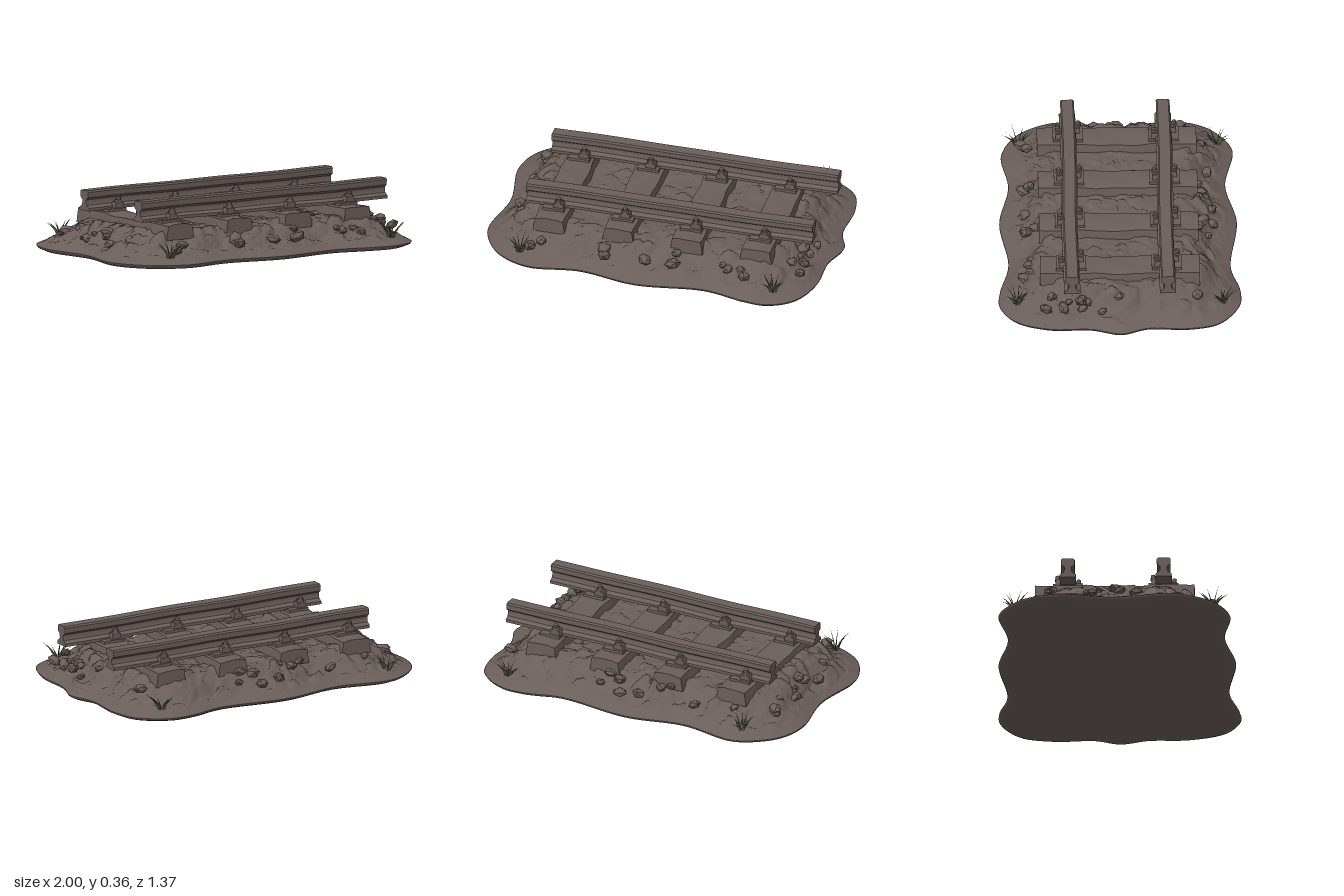
import * as THREE from 'three';
import { toCreasedNormals } from 'three/addons/utils/BufferGeometryUtils.js';

// Repeatable pseudo-random value for a pair of integers
const hash = (a, b) => {
  const s = Math.sin(a * 127.1 + b * 311.7) * 43758.5453;
  return s - Math.floor(s);
};
const lerp = THREE.MathUtils.lerp;

// Height of packed stones: each cell is a tilted facet with a crevice around it
function stones(x, z, size) {
  const u = x / size, w = z / size, ci = Math.floor(u), cj = Math.floor(w);
  let f1 = 9, f2 = 9, h = 0;
  for (let i = ci - 1; i <= ci + 1; i++) for (let j = cj - 1; j <= cj + 1; j++) {
    const dx = u - i - hash(i, j), dz = w - j - hash(i + 50, j + 9);
    const d = Math.hypot(dx, dz);
    if (d < f1) {
      f2 = f1; f1 = d;
      h = hash(i + 7, j + 3) - 0.5 + dx * (hash(i, j + 21) - 0.5) * 1.2 + dz * (hash(i + 31, j) - 0.5) * 1.2;
    } else if (d < f2) f2 = d;
  }
  return h * Math.min(1, (f2 - f1) * 5) - 0.35 * (1 - Math.min(1, (f2 - f1) * 4));
}

// Piecewise linear lookup in [[x, y], ...]
function lookup(table, x) {
  for (let i = 1; i < table.length; i++) {
    const [x0, y0] = table[i - 1], [x1, y1] = table[i];
    if (x <= x1) return lerp(y0, y1, (x - x0) / (x1 - x0));
  }
  return table[table.length - 1][1];
}

// Gravel bed: rings run from the underside centre, over the rim, to the top centre
function bedGeometry() {
  const outline = [[-0.72, -0.66], [-0.39, -0.615], [-0.05, -0.675], [0.38, -0.635], [0.59, -0.685], [0.74, -0.68],
    [0.9, -0.57], [0.95, -0.4], [0.945, -0.16], [0.995, -0.01], [0.95, 0.16], [0.945, 0.4], [0.87, 0.59],
    [0.73, 0.675], [0.59, 0.67], [0.35, 0.62], [-0.05, 0.665], [-0.39, 0.61], [-0.69, 0.645], [-0.88, 0.555],
    [-0.98, 0.4], [-1, 0.29], [-0.955, 0], [-1, -0.32], [-0.96, -0.48], [-0.87, -0.585]];
  const N = 280, R = 64;
  const rim = new THREE.CatmullRomCurve3(outline.map(([x, z]) => new THREE.Vector3(x, 0, z)), true).getSpacedPoints(N);
  const slope = [[0, 0.035], [0.04, 0.055], [0.08, 0.078], [0.13, 0.108], [0.17, 0.145], [0.21, 0.175], [0.26, 0.193], [0.36, 0.188], [0.65, 0.18]];
  const rows = [[1, 0], [0.3, 0.001], [0.14, 0.004], [0.05, 0.012], [0.01, 0.024]];
  for (let i = 0; i <= R; i++) rows.push([Math.pow(i / R, 1.25), null]);
  const pos = [], idx = [];
  for (const [t, under] of rows) for (let j = 0; j < N; j++) {
    const p = rim[j], x = lerp(p.x, p.x * 0.4, t), z = lerp(p.z, 0, t), d = t * 0.65;
    let y = under;
    if (y === null) {
      const amp = THREE.MathUtils.smoothstep(d, 0.02, 0.13) * lerp(1, 0.45, THREE.MathUtils.smoothstep(d, 0.22, 0.34));
      y = lookup(slope, d) + amp * (0.034 * stones(x, z, 0.085) + 0.012 * stones(x + 3, z + 5, 0.04));
    }
    pos.push(x, y, z);
  }
  for (let i = 0; i < rows.length - 1; i++) for (let j = 0; j < N; j++) {
    const k = (j + 1) % N, a = i * N + j, b = i * N + k, c = a + N, d = b + N;
    idx.push(a, c, b, b, c, d);
  }
  const g = new THREE.BufferGeometry();
  g.setAttribute('position', new THREE.Float32BufferAttribute(pos, 3));
  g.setIndex(idx);
  g.computeVertexNormals();
  return g;
}

// Move each vertex of a geometry by a rule
function warp(geo, rule) {
  const p = geo.attributes.position, v = new THREE.Vector3();
  for (let i = 0; i < p.count; i++) {
    rule(v.fromBufferAttribute(p, i));
    p.setXYZ(i, v.x, v.y, v.z);
  }
  return toCreasedNormals(geo, 0.6);
}

// Worn wooden tie, wider at its foot and slightly hollowed in the middle
function tieGeometry(seed) {
  return warp(new THREE.BoxGeometry(0.165, 0.09, 0.9, 4, 2, 28), v => {
    const low = 0.5 - v.y / 0.09, n = Math.sin(v.z * 17 + seed * 2.3) + Math.sin(v.z * 31 + seed * 5);
    v.x *= 1 + 0.14 * low + 0.03 * n;
    if (v.y > 0) {
      v.y -= 0.007 * Math.max(0, 1 - (v.z / 0.2) ** 2) + 0.002 * (1 + Math.sin(v.z * 23 + v.x * 40 + seed));
      if (Math.abs(v.x) > 0.075) v.y -= 0.006;
    }
  });
}

// Rail: head, web and foot extruded along x
function railGeometry() {
  const half = [[0.046, 0.245], [0.046, 0.262], [0.024, 0.276], [0.019, 0.29], [0.02, 0.308], [0.038, 0.322], [0.039, 0.352], [0.031, 0.361]];
  const pts = [...half, ...half.map(([x, y]) => [-x, y]).reverse()].map(([x, y]) => new THREE.Vector2(x, y));
  const g = new THREE.ExtrudeGeometry(new THREE.Shape(pts), { depth: 1.675, steps: 32, bevelEnabled: false });
  g.rotateY(Math.PI / 2).translate(-0.78, 0, 0);
  return warp(g, v => {
    v.z += 0.003 * Math.sin(v.x * 5);
    v.y += 0.0015 * Math.sin(v.x * 9);
  });
}

// Bent tapering grass blade growing from the origin
function bladeGeometry(length, bend) {
  const g = new THREE.ConeGeometry(0.009, length, 4, 4).translate(0, length / 2, 0);
  return warp(g, v => {
    v.z *= 0.45;
    v.x += bend * (v.y / length) ** 2;
  });
}

export function createModel() {
  const model = new THREE.Group();
  const brown = new THREE.MeshStandardMaterial({ color: 0x6a5e5a });
  brown.name = 'weathered brown';
  const green = new THREE.MeshStandardMaterial({ color: 0x626a48 });
  green.name = 'dry grass green';

  const add = (parent, name, geo, x = 0, y = 0, z = 0, mat = brown) => {
    const m = new THREE.Mesh(geo, mat);
    m.name = name;
    m.position.set(x, y, z);
    parent.add(m);
    return m;
  };

  add(model, 'gravelBed', bedGeometry());

  // Rails
  const rail = railGeometry();
  for (const z of [-0.27, 0.27]) add(model, z > 0 ? 'frontRail' : 'backRail', rail, 0, 0, z);

  // Ties with plates, clips and bolts under each rail
  const plate = new THREE.BoxGeometry(0.125, 0.016, 0.17);
  const clip = warp(new THREE.BoxGeometry(0.065, 0.04, 0.045), v => { if (v.y > 0) v.multiplyScalar(0.8); });
  const bolt = new THREE.CylinderGeometry(0.012, 0.014, 0.05, 6);
  const nut = new THREE.CylinderGeometry(0.02, 0.02, 0.016, 6);
  [-0.61, -0.205, 0.195, 0.6].forEach((x, i) => {
    add(model, 'tie', tieGeometry(i + 1), x, 0.195, -0.005);
    for (const z of [-0.27, 0.27]) {
      const fastener = new THREE.Group();
      fastener.name = 'railFastener';
      fastener.position.set(x, 0, z);
      model.add(fastener);
      add(fastener, 'tiePlate', plate, 0, 0.244, 0);
      for (const s of [-1, 1]) {
        const ox = s * 0.02 + (hash(i, s) - 0.5) * 0.02;
        add(fastener, 'clip', clip, ox, 0.268, s * 0.05).rotation.x = s * 0.15;
        add(fastener, 'nut', nut, ox, 0.29, s * 0.054);
        add(fastener, 'bolt', bolt, ox, 0.29, s * 0.056).rotation.x = s * 0.2;
      }
    }
  });

  // Loose stones set into the slopes
  const stone = new THREE.IcosahedronGeometry(1, 0);
  for (let i = 0; i < 44; i++) {
    const along = i % 4 < 2, s = i % 2 ? 1 : -1, r = hash(i, 2) * 2 - 1, inset = hash(i, 5) * 0.09;
    const x = along ? r * 0.78 : s * (0.87 - inset), z = along ? s * (0.54 - inset) : r * 0.45;
    const size = 0.02 + 0.02 * hash(i, 8);
    const m = add(model, 'stone', stone, x, 0.1 + inset * 0.8, z);
    m.scale.set(size * 1.3, size * 0.8, size);
    m.rotation.set(hash(i, 11) - 0.5, hash(i, 12) * 6, hash(i, 13) - 0.5);
  }

  // Grass tufts near the corners
  [[-0.74, -0.57], [0.74, -0.585], [-0.75, 0.55], [0.74, 0.575]].forEach(([x, z], t) => {
    const tuft = new THREE.Group();
    tuft.name = 'grassTuft';
    tuft.position.set(x, 0.07, z);
    model.add(tuft);
    for (let i = 0; i < 10; i++) {
      const a = i * 0.63 + hash(t, i), len = 0.065 + 0.05 * hash(i, t + 4);
      const m = add(tuft, 'grassBlade', bladeGeometry(len, 0.02 + 0.03 * hash(i, t)), Math.cos(a) * 0.012, 0, -Math.sin(a) * 0.012, green);
      m.rotation.set(0, a, -0.15 - 0.25 * hash(t + 2, i));
    }
  });
  return model;
}
